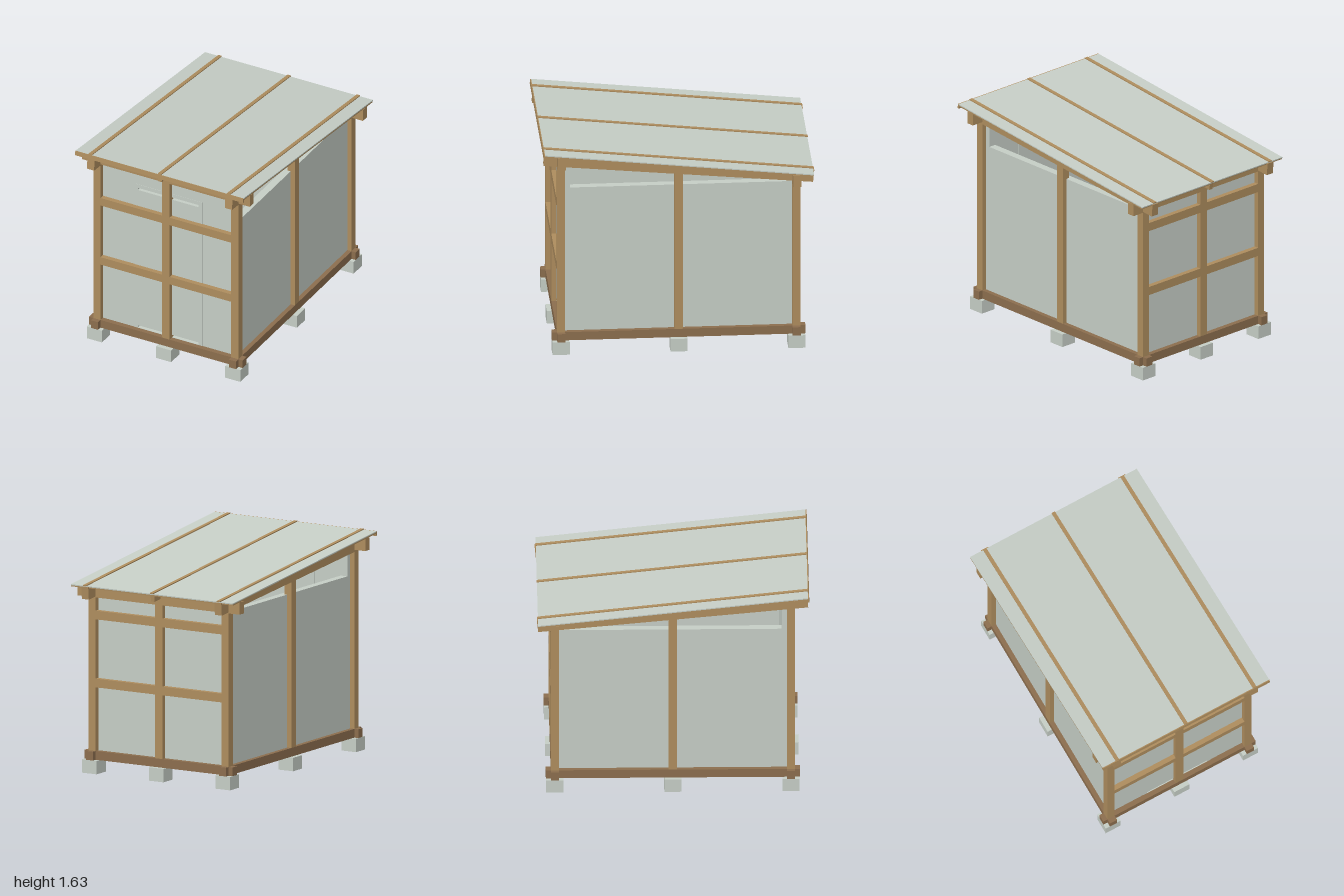
import * as THREE from 'three';

export function createModel() {
  const model = new THREE.Group();
  model.name = 'shed';

  const mat = (name, color) => {
    const m = new THREE.MeshStandardMaterial({ color });
    m.name = name;
    return m;
  };
  const wood = mat('wood', 0xae8d5e);
  const darkWood = mat('darkWood', 0x8c6e4e);
  const panel = mat('panel', 0xc6cec6);

  // Box given by its lower and upper limits on each axis
  const box = (name, material, [x0, x1], [y0, y1], [z0, z1], parent = model) => {
    const mesh = new THREE.Mesh(new THREE.BoxGeometry(x1 - x0, y1 - y0, z1 - z0), material);
    mesh.position.set((x0 + x1) / 2, (y0 + y1) / 2, (z0 + z1) / 2);
    mesh.name = name;
    parent.add(mesh);
    return mesh;
  };
  // Span on the positive or negative side of an axis
  const span = (s, a, b) => (s > 0 ? [a, b] : [-b, -a]);
  const X = [0.545, 0.605];
  const Z = [0.834, 0.893];
  const BASE = 0.165;

  // Nine foundation blocks
  for (const x of [-0.577, 0, 0.577])
    for (const z of [-0.865, 0, 0.865])
      box('foundationBlock', panel, [x - 0.063, x + 0.063], [0, 0.1], [z - 0.063, z + 0.063]);

  // Base frame with beams crossing at the corners
  for (const s of [-1, 1]) {
    box('baseSideBeam', darkWood, span(s, ...X), [0.1, BASE], [-0.93, 0.93]);
    box('baseEndBeam', darkWood, [-0.64, 0.64], [0.1, BASE], span(s, ...Z));
  }
  box('baseMiddleBeam', darkWood, [-0.545, 0.545], [0.1, BASE], [-0.03, 0.03]);

  // Front and back frames: posts, rails and the beam on top
  for (const s of [-1, 1]) {
    const top = s > 0 ? 1.5 : 1.31;
    const z = span(s, ...Z);
    const end = s > 0 ? 'front' : 'back';
    for (const side of [-1, 1]) box(end + 'CornerPost', wood, span(side, ...X), [BASE, top], z);
    box(end + 'MiddlePost', wood, [-0.032, 0.032], [BASE, top], z);
    for (const y of [0.64, 1.147])
      for (const side of [-1, 1]) box(end + 'Rail', wood, span(side, 0.032, 0.545), [y, y + 0.064], z);
    box(end + 'TopBeam', wood, [-0.7, 0.7], [top, top + 0.092], z);
  }

  // Side walls and side posts
  for (const s of [-1, 1]) {
    box('sidePost', wood, span(s, ...X), [BASE, 1.41], [-0.032, 0.032]);
    box('sideWall', panel, span(s, 0.512, 0.57), [0.145, 1.305], [-0.796, 0.796]);
  }
  box('backWall', panel, [-0.57, 0.57], [0.145, 1.31], [-0.855, -0.796]);

  // Front wall with a flush door leaf that has two vent slots
  const rect = (Type, x, y0, y1) => {
    const p = new Type();
    p.moveTo(-x, y0).lineTo(x, y0).lineTo(x, y1).lineTo(-x, y1).closePath();
    return p;
  };
  const slab = (name, shape, z0, z1) => {
    const geo = new THREE.ExtrudeGeometry(shape, { depth: z1 - z0, bevelEnabled: false });
    const mesh = new THREE.Mesh(geo, panel);
    mesh.position.z = z0;
    mesh.name = name;
    model.add(mesh);
  };
  const wall = rect(THREE.Shape, 0.57, 0.145, 1.5);
  wall.holes.push(rect(THREE.Path, 0.283, 0.15, 1.395));
  slab('frontWall', wall, 0.796, 0.855);
  const door = rect(THREE.Shape, 0.283, 0.15, 1.395);
  door.holes.push(rect(THREE.Path, 0.253, 1.347, 1.365), rect(THREE.Path, 0.253, 0.167, 0.187));
  slab('door', door, 0.794, 0.857);

  // Sloping side rafters
  const rafters = new THREE.Group();
  rafters.name = 'rafters';
  rafters.position.set(0, 1.45, -0.002);
  rafters.rotation.x = -Math.atan(0.096);
  for (const s of [-1, 1]) box('sideRafter', wood, span(s, ...X), [-0.047, 0.047], [-0.993, 0.993], rafters);
  model.add(rafters);

  // Roof: sheet, boarding below, middle rafter, battens and front trim
  const roof = new THREE.Group();
  roof.name = 'roof';
  roof.position.y = 1.516;
  roof.rotation.x = -Math.atan(0.109);
  box('roofSheet', panel, [-0.7, 0.7], [-0.008, 0], [-0.993, 0.993], roof);
  box('roofBoarding', wood, [-0.7, 0.7], [-0.017, -0.008], [-0.99, 0.985], roof);
  box('middleRafter', wood, [-0.016, 0.016], [-0.062, -0.017], [-0.985, 0.985], roof);
  for (const x of [-0.577, 0, 0.577])
    box('roofBatten', wood, [x - 0.014, x + 0.014], [0, 0.007], [-0.996, 0.996], roof);
  box('frontTrim', wood, [-0.7, 0.7], [-0.035, -0.001], [0.985, 1.0], roof);
  model.add(roof);

  return model;
}
